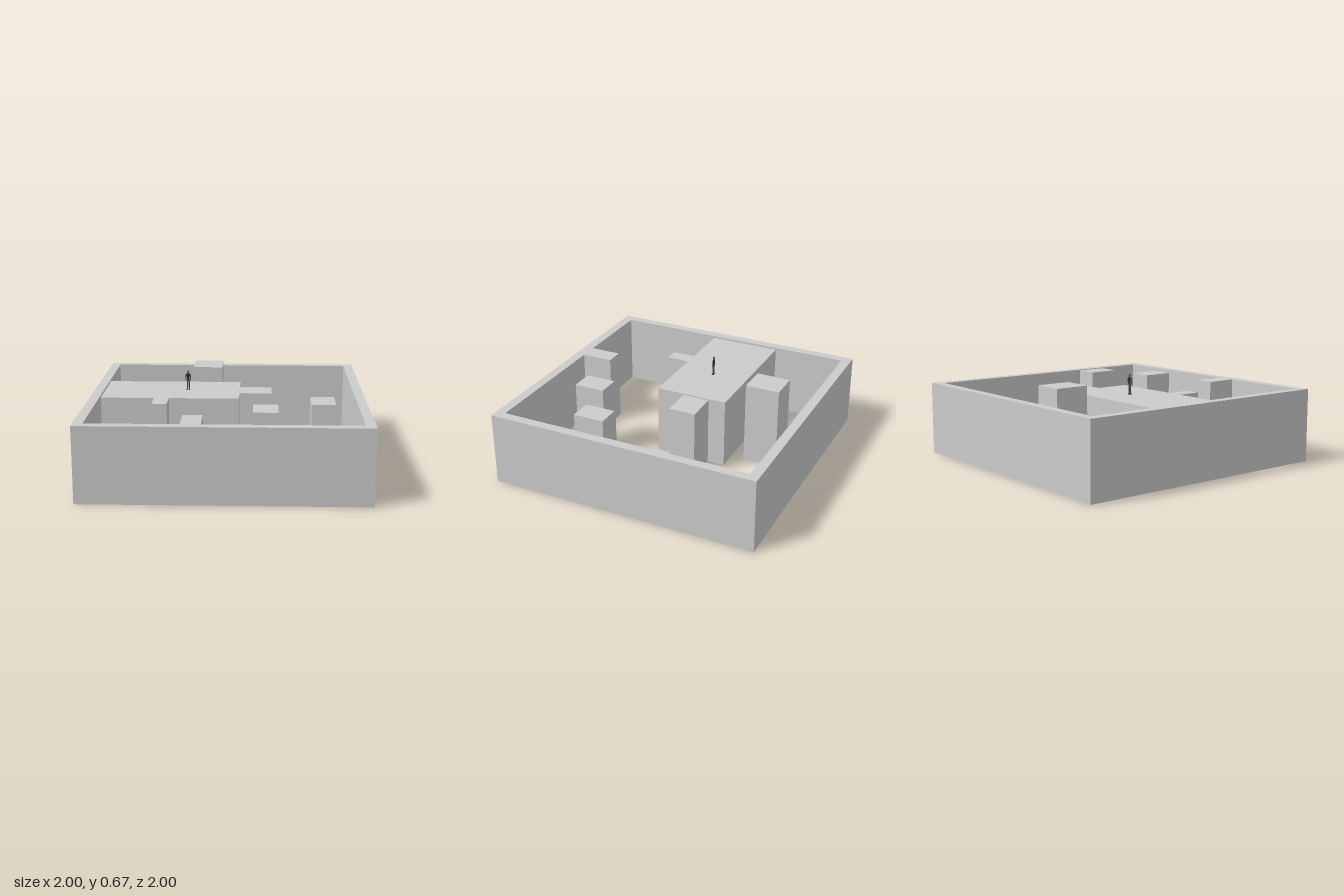
import * as THREE from 'three';

const material = (color) => new THREE.MeshStandardMaterial({ color, flatShading: true });
const grey = material(0xcccccc);

// Plan outline as [x, z] corners, turned into a 2D shape (shape y = -z)
const outline = (points, Type = THREE.Shape) =>
  new Type(points.map(([x, z]) => new THREE.Vector2(x, -z)));

// Raise a plan shape from the ground to a height
function raise(name, shape, height) {
  const geometry = new THREE.ExtrudeGeometry(shape, { depth: height, bevelEnabled: false });
  geometry.rotateX(-Math.PI / 2);
  const mesh = new THREE.Mesh(geometry, grey);
  mesh.name = name;
  return mesh;
}

// Box standing on the ground between plan limits
function block(name, x0, x1, z0, z1, height) {
  const mesh = new THREE.Mesh(new THREE.BoxGeometry(x1 - x0, height, z1 - z0), grey);
  mesh.position.set((x0 + x1) / 2, height / 2, (z0 + z1) / 2);
  mesh.name = name;
  return mesh;
}

// Tapered limb between two points, flattened front to back
function limb(name, from, to, r0, r1, mat) {
  const a = new THREE.Vector3(...from), b = new THREE.Vector3(...to);
  const dir = b.clone().sub(a);
  const mesh = new THREE.Mesh(new THREE.CylinderGeometry(r1, r0, dir.length(), 8), mat);
  mesh.position.copy(a).add(b).multiplyScalar(0.5);
  mesh.quaternion.setFromUnitVectors(new THREE.Vector3(0, 1, 0), dir.normalize());
  mesh.name = name;
  return mesh;
}

// Small standing person, 0.15 tall
function createFigure() {
  const figure = new THREE.Group();
  figure.name = 'standingFigure';
  const shirt = material(0x2c2e36), trousers = material(0x5c5040), skin = material(0x6a5548);
  const torso = limb('torso', [0, 0.075, 0], [0, 0.124, 0], 0.009, 0.013, shirt);
  torso.scale.z = 0.55;
  const head = new THREE.Mesh(new THREE.SphereGeometry(0.009, 10, 8), skin);
  head.name = 'head';
  head.scale.set(0.85, 1.2, 0.9);
  head.position.y = 0.139;
  figure.add(torso, head, limb('neck', [0, 0.122, 0], [0, 0.132, 0], 0.004, 0.004, skin));
  for (const s of [-1, 1]) {
    figure.add(
      limb('leg', [s * 0.008, 0.004, 0], [s * 0.005, 0.08, 0], 0.004, 0.006, trousers),
      limb('upperArm', [s * 0.019, 0.096, 0], [s * 0.012, 0.122, 0], 0.0035, 0.004, shirt),
      limb('forearm', [s * 0.016, 0.072, 0.003], [s * 0.019, 0.097, 0], 0.003, 0.0035, skin)
    );
    const shoe = new THREE.Mesh(new THREE.BoxGeometry(0.007, 0.006, 0.018), shirt);
    shoe.name = 'shoe';
    shoe.position.set(s * 0.008, 0.003, 0.003);
    figure.add(shoe);
  }
  return figure;
}

export function createModel() {
  const model = new THREE.Group();
  model.name = 'walledCourt';

  // Square wall, open above and below, with a pier on the inside of the front wall
  const wall = outline([[-1, 1], [1, 1], [1, -1], [-1, -1]]);
  const i = 0.93;
  wall.holes.push(outline([
    [-i, -i], [i, -i], [i, i], [-0.15, i], [-0.15, 0.695], [-0.29, 0.695], [-0.29, i], [-i, i]
  ], THREE.Path));
  model.add(raise('perimeterWall', wall, 0.54));

  // Large platform with a narrow spur on its front side
  const deck = 0.523;
  model.add(raise('platform', outline([
    [-i, 0.155], [-0.54, 0.155], [-0.54, 0.33], [-0.43, 0.33], [-0.43, 0.155],
    [0.085, 0.155], [0.085, -0.385], [-i, -0.385]
  ]), deck));

  // Block against the platform, then the free-standing blocks
  model.add(
    block('platformStep', 0.085, 0.325, -0.255, -0.055, 0.513),
    block('backBlock', -0.285, -0.06, -0.74, -0.485, 0.618),
    block('frontBlock', 0.19, 0.365, 0.465, 0.695, 0.56),
    block('sideBlock', 0.6, 0.77, 0.235, 0.465, 0.56)
  );

  const figure = createFigure();
  figure.position.set(-0.305, deck, -0.12);
  model.add(figure);
  return model;
}
